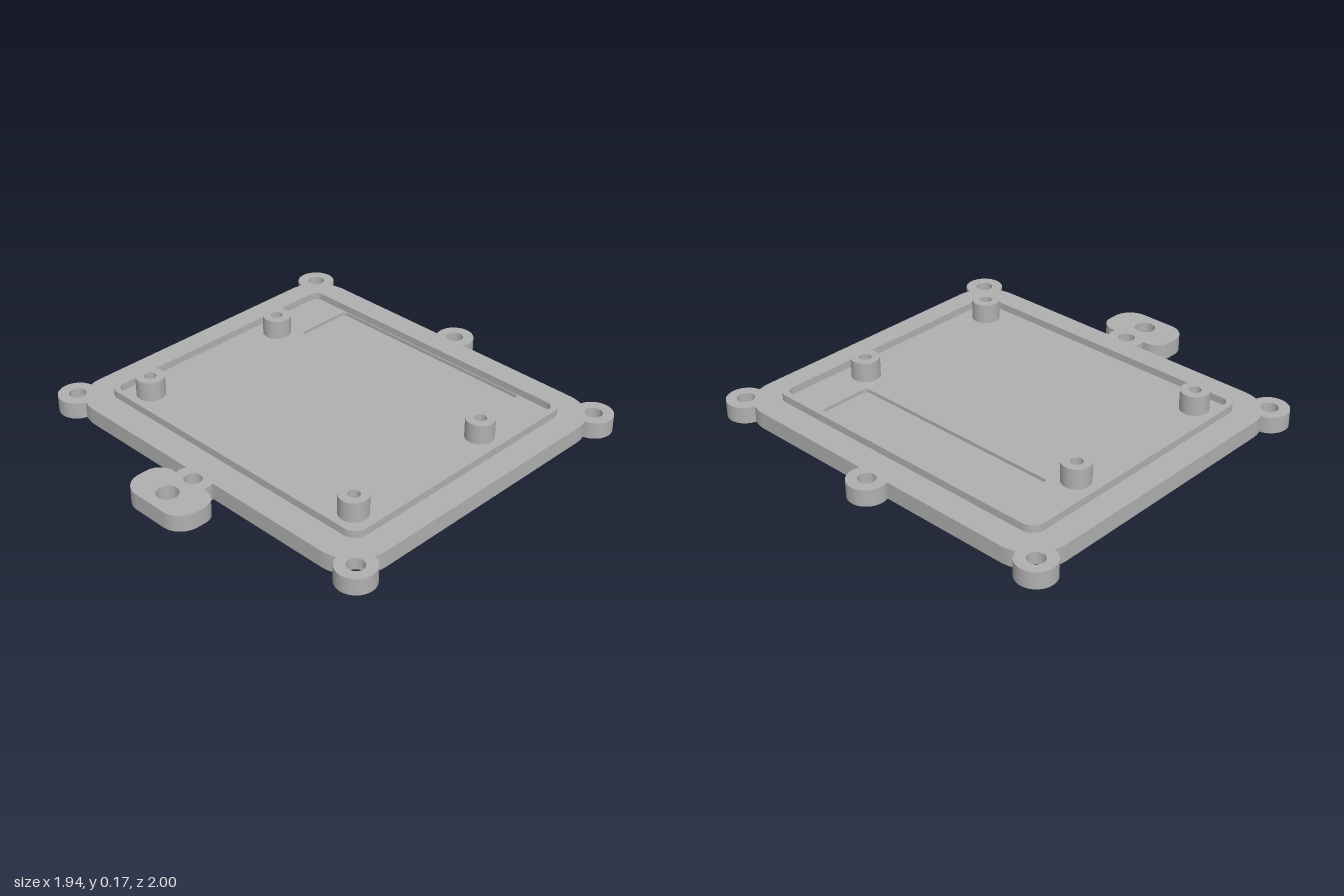
import * as THREE from 'three';
import { toCreasedNormals } from 'three/addons/utils/BufferGeometryUtils.js';

const PI = Math.PI;
const LUG_R = 0.09, CORNER_R = 0.185;
const CORNER_LUGS = [[0.88, 0.84], [-0.88, 0.84], [-0.88, -0.69], [0.88, -0.69]];
const LUGS = [...CORNER_LUGS, [0, 0.91], [0, -0.76]];

// Plan shapes are drawn with their second axis pointing to the back (-z)
function circle(x, y, r) {
  return new THREE.Path().absarc(x, y, r, 0, PI * 2, false);
}

function roundedRect(x0, y0, x1, y1, r, Type = THREE.Shape) {
  const p = new Type();
  p.absarc(x1 - r, y1 - r, r, 0, PI / 2, false);
  p.absarc(x0 + r, y1 - r, r, PI / 2, PI, false);
  p.absarc(x0 + r, y0 + r, r, PI, PI * 1.5, false);
  p.absarc(x1 - r, y0 + r, r, PI * 1.5, PI * 2, false);
  p.closePath();
  return p;
}

// Rounded plate corner joined with its round screw lug
function cornerWithLug(s, px, py, lx, ly, start) {
  const dx = lx - px, dy = ly - py, d = Math.hypot(dx, dy);
  let phi = Math.atan2(dy, dx);
  if (phi < start) phi += PI * 2;
  const a = Math.acos((CORNER_R ** 2 + d * d - LUG_R ** 2) / (2 * CORNER_R * d));
  const b = Math.acos((LUG_R ** 2 + d * d - CORNER_R ** 2) / (2 * LUG_R * d));
  s.absarc(px, py, CORNER_R, start, phi - a, false);
  s.absarc(lx, ly, LUG_R, phi - PI + b, phi + PI - b, false);
  s.absarc(px, py, CORNER_R, phi + a, start + PI / 2, false);
}

// Whole plate outline: four corners, back lug, front lug and hanging tab
function plateOutline() {
  const s = new THREE.Shape();
  const up = Math.asin(0.035 / LUG_R), down = Math.asin(0.02 / LUG_R);
  s.absarc(0, -0.76, LUG_R, PI - up, PI + down, false);
  s.absarc(-0.105, -0.86, 0.08, PI / 2, PI, false);
  s.absarc(-0.085, -0.9, 0.1, PI, PI * 1.5, false);
  s.absarc(0.085, -0.9, 0.1, PI * 1.5, PI * 2, false);
  s.absarc(0.105, -0.86, 0.08, 0, PI / 2, false);
  s.absarc(0, -0.76, LUG_R, -down, up, false);
  cornerWithLug(s, 0.72, -0.54, 0.88, -0.69, -PI / 2);
  cornerWithLug(s, 0.72, 0.69, 0.88, 0.84, 0);
  s.absarc(0, 0.91, LUG_R, -up, PI + up, false);
  cornerWithLug(s, -0.72, 0.69, -0.88, 0.84, PI / 2);
  cornerWithLug(s, -0.72, -0.54, -0.88, -0.69, PI);
  s.closePath();
  return s;
}

// Extrude a plan shape upward between two heights
function slab(shape, y0, y1) {
  const g = new THREE.ExtrudeGeometry(shape, { depth: y1 - y0, bevelEnabled: false, curveSegments: 20 });
  g.rotateX(-PI / 2);
  g.translate(0, y0, 0);
  return toCreasedNormals(g, PI / 6);
}

export function createModel() {
  const model = new THREE.Group();
  model.name = 'enclosureLid';
  const grey = new THREE.MeshStandardMaterial({ color: 0xb0b0b0 });
  grey.name = 'grey plastic';
  const add = (name, geometry) => {
    const mesh = new THREE.Mesh(geometry, grey);
    mesh.name = name;
    model.add(mesh);
    return mesh;
  };

  // Plate layers: counterbored underside, solid web, top with shallow pocket
  const layer = (name, y0, y1, holeR, pocket) => {
    const s = plateOutline();
    for (const [x, y] of LUGS) s.holes.push(circle(x, y, holeR));
    s.holes.push(circle(0, -0.9, 0.05));
    if (pocket) s.holes.push(roundedRect(-0.55, 0.415, 0.55, 0.71, 0.02, THREE.Path));
    add(name, slab(s, y0, y1));
  };
  layer('plateUnderside', 0, 0.04, 0.07, false);
  layer('plateWeb', 0.04, 0.063, 0.04, false);
  layer('plateTop', 0.063, 0.08, 0.04, true);

  // Raised locating rim
  const rim = roundedRect(-0.78, -0.59, 0.78, 0.745, 0.065);
  rim.holes.push(roundedRect(-0.75, -0.565, 0.75, 0.715, 0.04, THREE.Path));
  add('rim', slab(rim, 0.08, 0.115));

  // Hollow standoffs
  for (const x of [-0.64, 0.64]) {
    for (const y of [0.335, -0.455]) {
      const ring = new THREE.Shape().absarc(x, y, 0.067, 0, PI * 2, false);
      ring.holes.push(circle(x, y, 0.028));
      add('standoff', slab(ring, 0.08, 0.175));
    }
  }
  return model;
}
